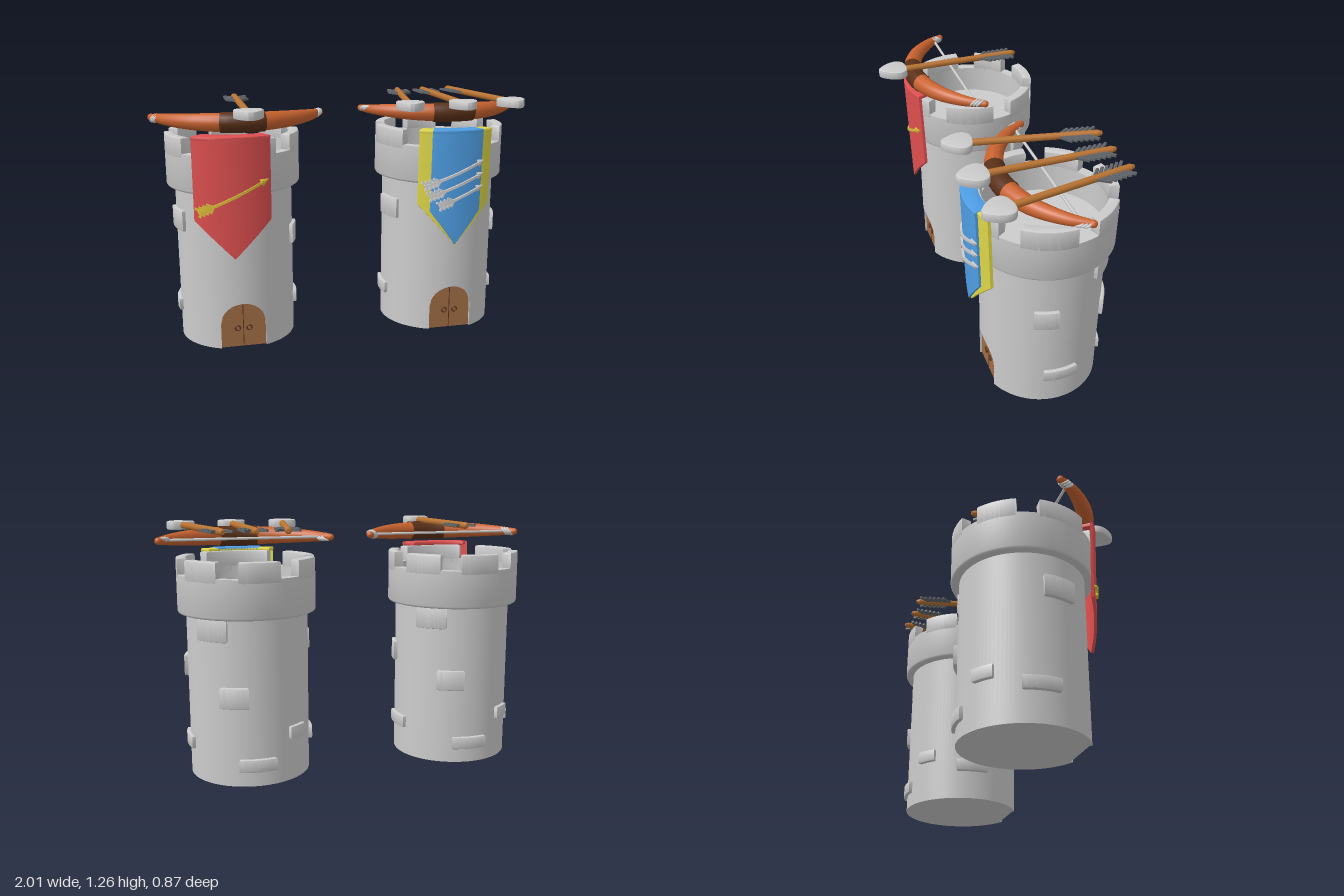
import * as THREE from 'three';
import { mergeGeometries, toCreasedNormals } from 'three/addons/utils/BufferGeometryUtils.js';

const mat = (color) => new THREE.MeshStandardMaterial({ color, side: THREE.DoubleSide });
const GREY = mat(0xcccccc), RED = mat(0xe05050), BLUE = mat(0x4f9fe6), YELLOW = mat(0xe0d848), GOLD = mat(0xd8bc38);
const DOOR = mat(0xa06c45), WOOD = mat(0xb87333), BOW = mat(0xc8622f), GRIP = mat(0x5a3018), DARK = mat(0x606468);
const CZ = -0.09, R = 0.305, DW = 0.1167, SPRING = 0.13, DZ = 0.27;
const rad = THREE.MathUtils.degToRad;

function add(parent, name, geo, material, x = 0, y = 0, z = 0) {
  const m = new THREE.Mesh(geo, material);
  m.name = name;
  m.position.set(x, y, z);
  parent.add(m);
  return m;
}

function move(geo, rule) {
  const p = geo.attributes.position, v = new THREE.Vector3();
  for (let i = 0; i < p.count; i++) {
    rule(v.fromBufferAttribute(p, i), i);
    p.setXYZ(i, v.x, v.y, v.z);
  }
  geo.computeVertexNormals();
  return geo;
}

// Bevelled block bent round the tower; angles in degrees from +x towards +z
function sector(r0, r1, a0, a1, y0, y1, b = 0.007) {
  const s = new THREE.Shape();
  s.absarc(0, 0, r1, rad(a0), rad(a1), false);
  s.absarc(0, 0, r0, rad(a1), rad(a0), true);
  const g = new THREE.ExtrudeGeometry(s, {
    depth: y1 - y0 - 2 * b, bevelSize: b, bevelThickness: b, bevelOffset: -b, bevelSegments: 2, curveSegments: 10,
  });
  return toCreasedNormals(g.rotateX(Math.PI / 2).translate(0, y1 - b, 0), 0.6);
}

const archY = (x) => SPRING + Math.sqrt(Math.max(0, DW * DW - x * x));
const wallZ = (x) => Math.sqrt(R * R - x * x);

function tower(cx) {
  const g = new THREE.Group();
  g.name = 'tower';
  g.position.set(cx, 0, CZ);
  // Wall with an arched doorway
  add(g, 'wall', new THREE.CylinderGeometry(R, R, 0.85, 84, 1, true, Math.PI / 8, Math.PI * 1.75), GREY, 0, 0.425);
  const front = new THREE.CylinderGeometry(R, R, 0.85, 24, 1, true, -Math.PI / 8, Math.PI / 4).translate(0, 0.425, 0);
  add(g, 'wallOverDoor', move(front, (v) => { if (v.y < 0.1) v.y = archY(v.x); }), GREY);
  const reveal = new THREE.PlaneGeometry(1, 1, 32, 1);
  add(g, 'doorReveal', move(reveal, (v, i) => {
    const k = i % 33, t = Math.PI * (1 - (k - 1) / 30), inner = v.y < 0;
    const side = k === 0 ? -1 : k === 32 ? 1 : 0;
    v.x = side ? side * DW : DW * Math.cos(t);
    v.y = side ? 0 : SPRING + DW * Math.sin(t);
    v.z = inner ? DZ : wallZ(Math.min(Math.abs(v.x), DW));
  }), GREY);
  const base = new THREE.Shape();
  base.absarc(0, 0, R, Math.PI * 0.625, Math.PI * 2.375, false);
  base.lineTo(DW, DZ);
  base.lineTo(-DW, DZ);
  add(g, 'base', new THREE.ShapeGeometry(base, 60).rotateX(Math.PI / 2), GREY);

  // Door
  const d = new THREE.Shape();
  d.moveTo(-DW, 0);
  d.lineTo(DW, 0);
  d.lineTo(DW, SPRING);
  d.absarc(0, SPRING, DW, 0, Math.PI, false);
  add(g, 'door', new THREE.ShapeGeometry(d, 24), DOOR, 0, 0, DZ);
  add(g, 'doorSeam', new THREE.BoxGeometry(0.004, 0.24, 0.004), GRIP, 0, 0.12, DZ);
  for (const s of [-1, 1])
    add(g, 'doorRing', new THREE.TorusGeometry(0.013, 0.004, 8, 20), GRIP, s * 0.03, 0.103, DZ + 0.004);

  // Crown with parapet and merlons
  const profile = [[0.3, 0.83], [0.336, 0.83], [0.343, 0.834], [0.347, 0.842], [0.347, 1.025], [0.297, 1.025], [0.297, 0.88], [0, 0.88]];
  const crown = new THREE.LatheGeometry(profile.map((p) => new THREE.Vector2(...p)), 72);
  add(g, 'crown', toCreasedNormals(crown, 0.6), GREY);
  const gaps = [-116, -64, -13, 48, 132, 193, 244];
  for (let i = 0; i < 6; i++)
    add(g, 'merlon', sector(0.297, 0.347, gaps[i] + 9, gaps[i + 1] - 9, 1.0, 1.105), GREY);

  // Raised stones: centre angle, half width, bottom, top
  const stones = [[16, 11, 0.505, 0.61], [0, 16, 0.15, 0.215], [-46, 15, 0.72, 0.835], [-66, 13, 0.395, 0.5],
    [-86, 17, 0.075, 0.14], [-128, 10, 0.215, 0.28], [165, 15, 0.61, 0.72], [183, 16, 0.15, 0.215]];
  for (const [a, w, y0, y1] of stones)
    add(g, 'stone', sector(0.29, 0.324, a - w, a + w, y0, y1), GREY);
  return g;
}

// Hanging cloth surface in front of a tower
const clothZ = (cx, r, x, y) => CZ + Math.sqrt(r * r - (x - cx) ** 2) - 0.035 * (1.12 - y);

function cloth(cx, r, x0, x1, top, corner, tip, thick) {
  const mid = (x0 + x1) / 2, half = (x1 - x0) / 2;
  return move(new THREE.BoxGeometry(2, 1, thick, 16, 10, 1), (v) => {
    const low = tip + (corner - tip) * Math.abs(v.x), dz = v.z;
    v.x = mid + half * v.x;
    v.y = low + (top - low) * (v.y + 0.5);
    v.z = dz + clothZ(cx, r, v.x, v.y);
  });
}

// Feather barbs in the xy plane, swept back from an arrow flying along +x
function barbs(n, x0, step, len, thick, depth) {
  const list = [];
  for (let i = 0; i < n; i++) for (const s of [-1, 1])
    list.push(new THREE.BoxGeometry(len, thick, depth).translate(-len / 2, 0, 0).rotateZ(-s * 0.75).translate(x0 + i * step, 0, 0));
  return mergeGeometries(list);
}

// Small arrow emblem laid on the cloth from a to b
function emblem(cx, r, [ax, ay], [bx, by]) {
  const len = Math.hypot(bx - ax, by - ay);
  const geo = mergeGeometries([
    new THREE.BoxGeometry(len - 0.04, 0.013, 0.012, 12, 1, 1).translate(len / 2 - 0.01, 0, 0),
    new THREE.ConeGeometry(0.022, 0.045, 4).scale(1, 1, 0.4).rotateZ(-Math.PI / 2).translate(len - 0.022, 0, 0),
    barbs(4, 0.032, 0.02, 0.036, 0.011, 0.012),
  ]);
  geo.rotateZ(Math.atan2(by - ay, bx - ax)).translate(ax, ay, 0);
  return move(geo, (v) => { v.z += clothZ(cx, r, v.x, v.y); });
}

function bow(cx, cz) {
  const g = new THREE.Group();
  g.name = 'bow';
  g.position.set(cx, 1.19, cz);
  const half = [[0.43, -0.03], [0.36, 0.065], [0.21, 0.18]];
  const path = new THREE.CatmullRomCurve3([
    ...half.map(([x, z]) => new THREE.Vector3(-x, 0, z)), new THREE.Vector3(0, 0, 0.235),
    ...half.reverse().map(([x, z]) => new THREE.Vector3(x, 0, z)),
  ]);
  const N = 60, M = 16;
  const limb = new THREE.TubeGeometry(path, N, 1, M);
  move(limb, (v, i) => {
    const t = Math.floor(i / (M + 1)) / N, c = path.getPointAt(t);
    v.sub(c).multiplyScalar(0.017 + 0.031 * Math.sin(Math.PI * t) ** 0.9).add(c);
  });
  add(g, 'bowLimb', limb, BOW);
  const grip = new THREE.CatmullRomCurve3([0.4, 0.45, 0.5, 0.55, 0.6].map((t) => path.getPointAt(t)));
  add(g, 'bowGrip', new THREE.TubeGeometry(grip, 16, 0.051, 20), GRIP);
  for (const t of [0, 1]) {
    add(g, 'bowTip', new THREE.SphereGeometry(0.018, 16, 12), BOW).position.copy(path.getPointAt(t));
    for (const k of [0.025, 0.04, 0.055]) {
      const u = Math.abs(t - k), ring = add(g, 'bowBinding', new THREE.TorusGeometry(0.02 + k * 0.06, 0.007, 8, 20), GREY);
      ring.position.copy(path.getPointAt(u));
      ring.lookAt(path.getPointAt(u).add(path.getTangentAt(u)));
    }
  }
  add(g, 'bowString', new THREE.CylinderGeometry(0.007, 0.007, 0.79, 10).rotateZ(Math.PI / 2), GREY, 0, 0, 0.014);
  return g;
}

function arrow([tx, tz], [hx, hz]) {
  const g = new THREE.Group();
  g.name = 'arrow';
  g.position.set(tx, 1.247, tz);
  g.rotation.y = Math.atan2(-(hz - tz), hx - tx);
  const len = Math.hypot(hx - tx, hz - tz);
  add(g, 'arrowShaft', new THREE.CylinderGeometry(0.017, 0.017, len - 0.12, 14).rotateZ(Math.PI / 2), WOOD, len / 2 - 0.05);
  add(g, 'arrowNock', new THREE.CylinderGeometry(0.017, 0.01, 0.02, 14).rotateZ(-Math.PI / 2), WOOD);
  add(g, 'arrowFeathers', barbs(6, 0.075, 0.026, 0.082, 0.013, 0.012).rotateX(-Math.PI / 2), DARK);
  const s = new THREE.Shape();
  s.moveTo(0.015, -0.045);
  s.quadraticCurveTo(0, 0, 0.015, 0.045);
  s.bezierCurveTo(0.035, 0.085, 0.09, 0.075, 0.145, 0.018);
  s.quadraticCurveTo(0.157, 0, 0.145, -0.018);
  s.bezierCurveTo(0.09, -0.075, 0.035, -0.085, 0.015, -0.045);
  const head = new THREE.ExtrudeGeometry(s, { depth: 0.03, bevelSize: 0.005, bevelThickness: 0.006, bevelOffset: -0.002, bevelSegments: 2 });
  add(g, 'arrowHead', toCreasedNormals(head.translate(0, 0, -0.015).rotateX(-Math.PI / 2), 0.6), GREY, len - 0.153, -0.003);
  return g;
}

export function createModel() {
  const model = new THREE.Group();
  const L = -0.575, Q = 0.56;
  model.add(tower(L), tower(Q), bow(-0.55, 0), bow(0.56, -0.1));
  model.add(arrow([-0.535, -0.33], [-0.53, 0.43]));
  model.add(arrow([0.42, -0.42], [0.28, 0.32]), arrow([0.57, -0.42], [0.575, 0.335]), arrow([0.73, -0.43], [0.86, 0.31]));

  // Red banner folded over the parapet
  add(model, 'redBanner', cloth(L, 0.365, -0.8, -0.42, 1.122, 0.7, 0.505, 0.015), RED);
  add(model, 'redBannerFold', sector(0.285, 0.372, 65, 127, 1.106, 1.126, 0.004), RED, L, 0, CZ);
  add(model, 'goldEmblem', emblem(L, 0.376, [-0.79, 0.74], [-0.43, 0.91]), GOLD);

  // Blue banner with yellow border
  add(model, 'yellowBanner', cloth(Q, 0.372, 0.355, 0.735, 1.112, 0.72, 0.505, 0.015), YELLOW);
  add(model, 'yellowBannerFold', sector(0.31, 0.379, 62, 124, 1.1, 1.118, 0.004), YELLOW, Q, 0, CZ);
  add(model, 'blueBanner', cloth(Q, 0.385, 0.41, 0.675, 1.115, 0.69, 0.51, 0.012), BLUE);
  add(model, 'blueBannerFold', sector(0.31, 0.391, 73, 113, 1.103, 1.121, 0.004), BLUE, Q, 0, CZ);
  for (const [a, b] of [[[0.365, 0.82], [0.69, 0.96]], [[0.39, 0.765], [0.69, 0.893]], [[0.44, 0.715], [0.69, 0.825]]])
    add(model, 'silverEmblem', emblem(Q, 0.396, a, b), GREY);
  return model;
}
